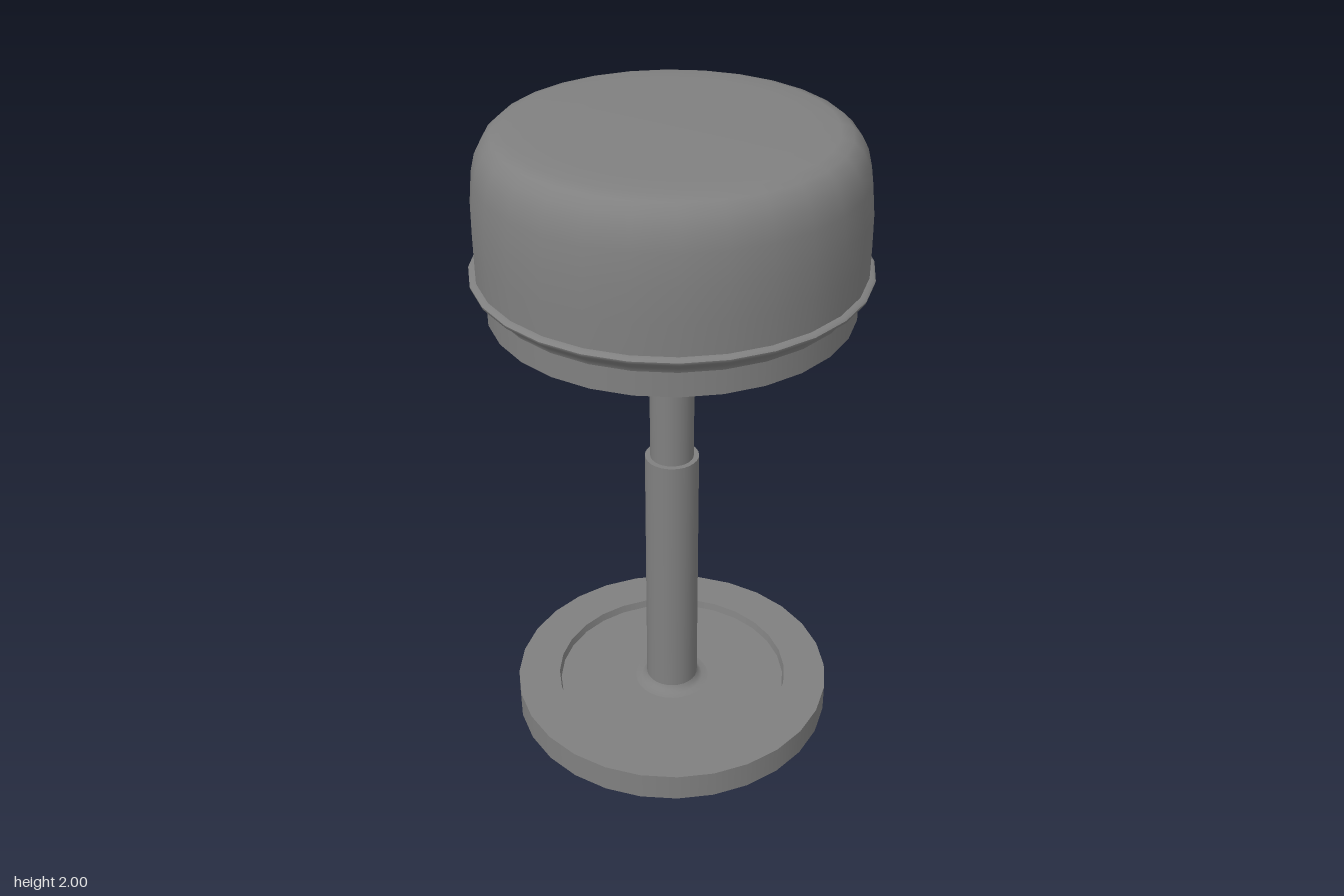
import * as THREE from 'three';

const SIDES = 28;
const material = new THREE.MeshStandardMaterial({ color: 0x808080, side: THREE.DoubleSide });

// Turned part: every profile run is smooth inside, with sharp edges between runs.
function turned(name, runs) {
  const group = new THREE.Group();
  group.name = name;
  runs.forEach((run, i) => {
    const points = run.map(([r, y]) => new THREE.Vector2(r, y));
    const mesh = new THREE.Mesh(new THREE.LatheGeometry(points, SIDES), material);
    mesh.name = `${name}Surface${i + 1}`;
    group.add(mesh);
  });
  return group;
}

// Split a profile so that every corner is sharp.
const sharp = (points) => points.slice(1).map((p, i) => [points[i], p]);

export function createModel() {
  const model = new THREE.Group();
  model.name = 'stool';

  // Hollow foot, open below, with a sunken top that curls up round the post
  model.add(turned('base', [
    ...sharp([[0.51, 0], [0.51, 0.09], [0.375, 0.09], [0.37, 0.065], [0.12, 0.065]]),
    [[0.12, 0.065], [0.1, 0.068], [0.089, 0.075], [0.083, 0.087]],
  ]));

  // Telescopic post: wide sleeve below, narrower rod above
  model.add(turned('lowerPost', sharp([[0.083, 0.087], [0.083, 0.94], [0.067, 0.94]])));
  model.add(turned('upperPost', [[[0.067, 0.94], [0.067, 1.46]]]));

  // Seat pan under the cushion
  model.add(turned('seatPan', sharp([[0, 1.457], [0.532, 1.457], [0.532, 1.535]])));

  // Padded cushion with a flared piping lip
  model.add(turned('cushion', [
    [[0.532, 1.53], [0.539, 1.545], [0.558, 1.56], [0.574, 1.574], [0.576, 1.582]],
    [[0.576, 1.582], [0.57, 1.588], [0.558, 1.59]],
    [
      [0.558, 1.59], [0.559, 1.68], [0.558, 1.78], [0.549, 1.87], [0.537, 1.92],
      [0.518, 1.957], [0.492, 1.982], [0.457, 1.993], [0.38, 1.997], [0.25, 2], [0, 2],
    ],
  ]));

  return model;
}
